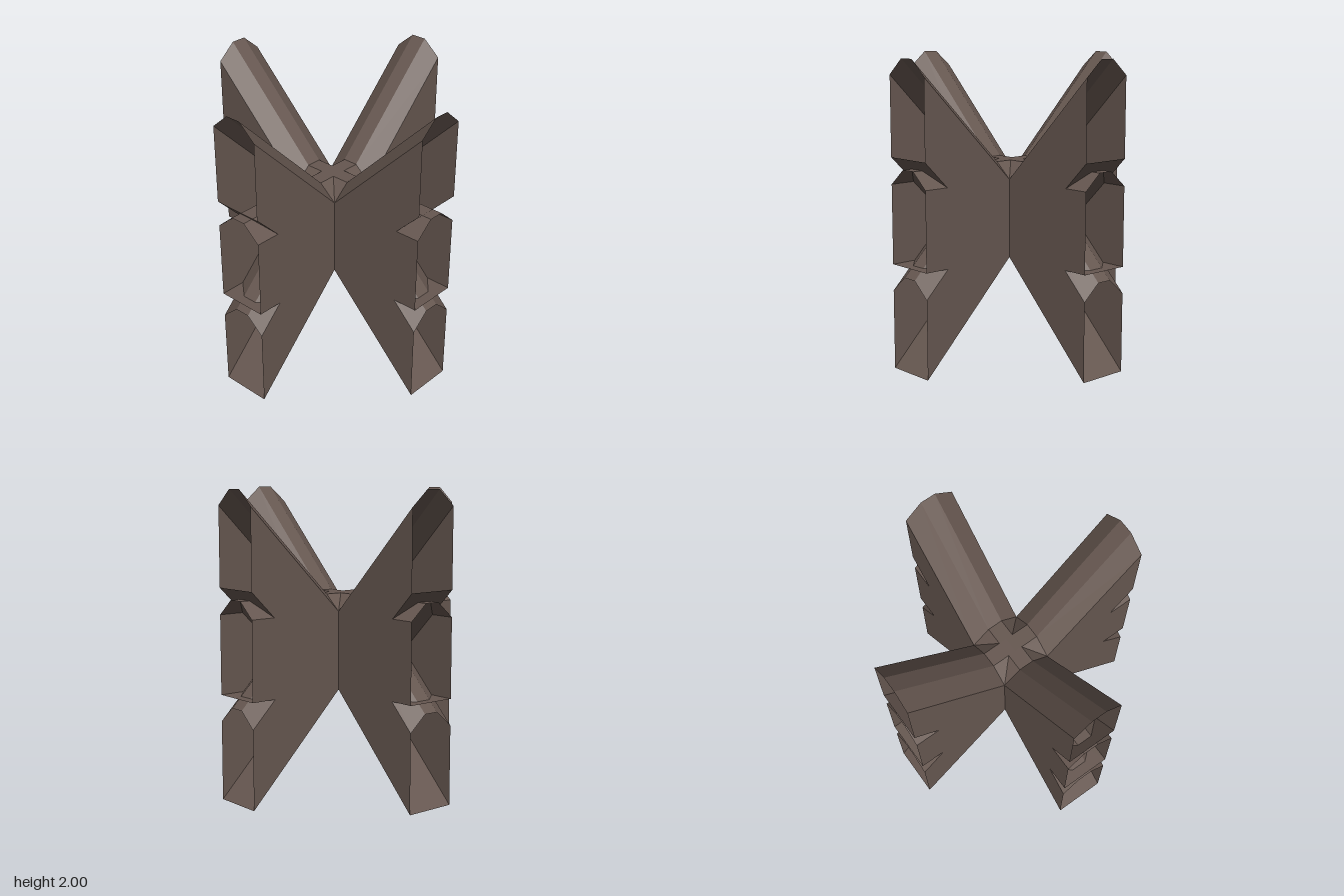
import * as THREE from 'three';

const U = 1 / 58; // modelling unit

// Beam cross-section: flat base, upright sides, chamfered top
const SECTION = [[-10, 40], [10, 40], [10, 70], [3, 76], [-3, 76], [-10, 70]];

// Hollow, open-ended beam along +z, sheared upwards by rise
function beamGeometry(start, end, rise) {
  const pos = [];
  SECTION.forEach(([ax, ay], i) => {
    const [bx, by] = SECTION[(i + 1) % SECTION.length];
    const a0 = [ax, ay, start], b0 = [bx, by, start];
    const a1 = [ax, ay + rise, end], b1 = [bx, by + rise, end];
    for (const p of [a0, b0, b1, a0, b1, a1]) pos.push(...p.map((v) => v * U));
  });
  const geometry = new THREE.BufferGeometry();
  geometry.setAttribute('position', new THREE.Float32BufferAttribute(pos, 3));
  geometry.computeVertexNormals();
  return geometry;
}

export function createModel() {
  const model = new THREE.Group();
  model.name = 'crossedBeams';
  const wood = new THREE.MeshStandardMaterial({
    color: 0x665750, flatShading: true, side: THREE.DoubleSide,
  });
  wood.name = 'darkWood';

  const beams = {
    levelBeam: beamGeometry(0, 50, 0),
    risingBeam: beamGeometry(10, 50, 40),
    fallingBeam: beamGeometry(10, 50, -40),
  };

  // The same three beams fan out on each of the four sides
  ['front', 'left', 'back', 'right'].forEach((side, i) => {
    const arm = new THREE.Group();
    arm.name = side + 'Arm';
    arm.rotation.y = i * Math.PI / 2;
    for (const [name, geometry] of Object.entries(beams)) {
      const mesh = new THREE.Mesh(geometry, wood);
      mesh.name = name;
      arm.add(mesh);
    }
    model.add(arm);
  });
  return model;
}
